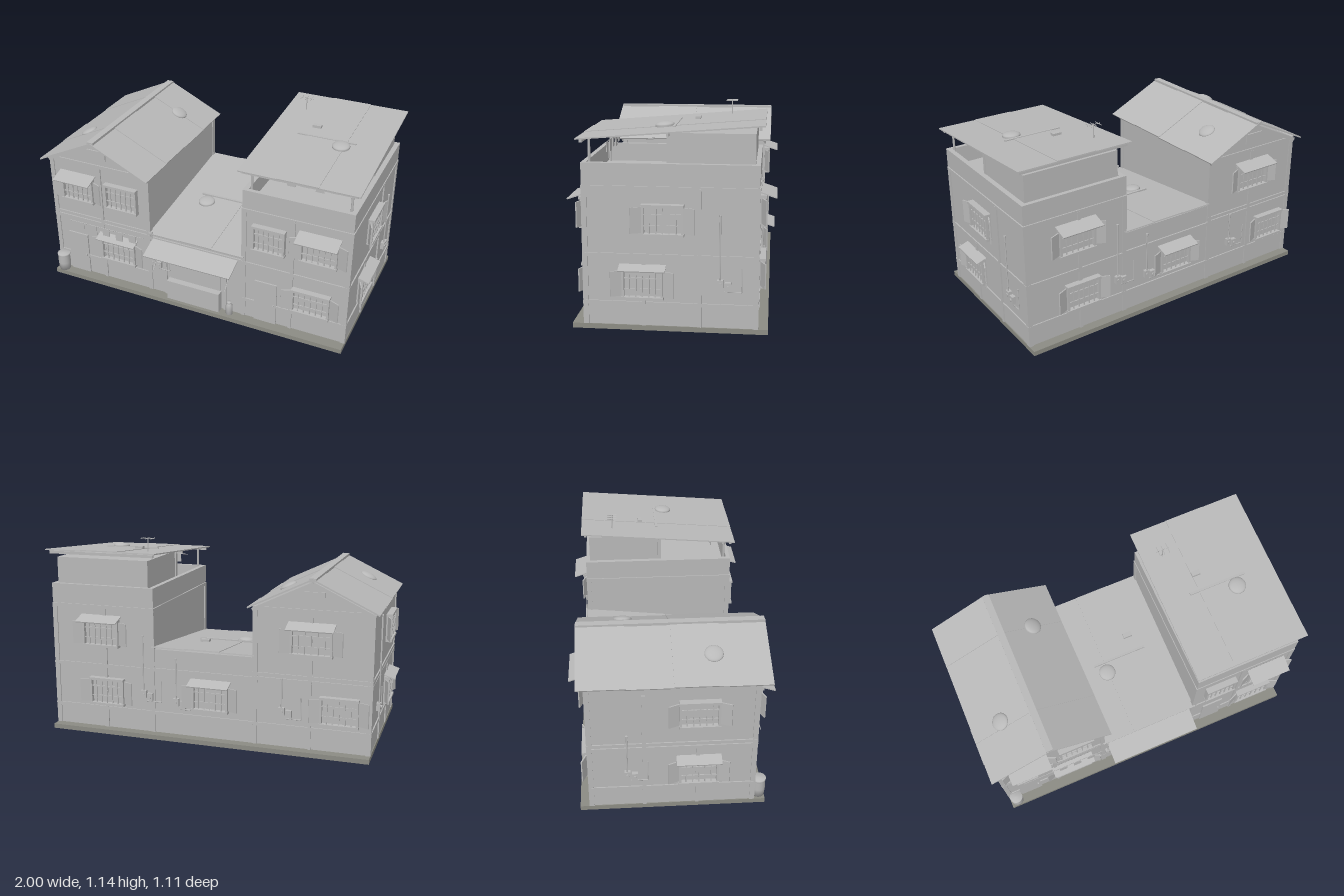
import * as THREE from 'three';

const mat = (name, color) => Object.assign(new THREE.MeshStandardMaterial({ color }), { name });
const wall = mat('plaster grey', 0xb8b8b8);
const ground = mat('pavement grey', 0x8c8c84);

function add(parent, name, geo, x = 0, y = 0, z = 0, m = wall) {
  const mesh = new THREE.Mesh(geo, m);
  mesh.name = name;
  mesh.position.set(x, y, z);
  parent.add(mesh);
  return mesh;
}

// Box given by its limits on each axis
function block(parent, name, x0, x1, y0, y1, z0, z1, m = wall) {
  return add(parent, name, new THREE.BoxGeometry(x1 - x0, y1 - y0, z1 - z0),
    (x0 + x1) / 2, (y0 + y1) / 2, (z0 + z1) / 2, m);
}

function rod(parent, name, a, b, r = 0.004) {
  const p = new THREE.Vector3(...a), q = new THREE.Vector3(...b);
  const d = q.clone().sub(p);
  const mesh = add(parent, name, new THREE.CylinderGeometry(r, r, d.length(), 8));
  mesh.position.copy(p).add(q).multiplyScalar(0.5);
  mesh.quaternion.setFromUnitVectors(new THREE.Vector3(0, 1, 0), d.normalize());
  return mesh;
}

const FRONT = 0.415, BACK = -0.475, LEFT = 0.935, RIGHT = -0.94;

// Group on an outer wall, its local +z pointing outwards
function onFace(root, name, face, u, y) {
  const g = new THREE.Group();
  g.name = name;
  if (face === 'front') g.position.set(u, y, FRONT);
  if (face === 'back') { g.position.set(u, y, BACK); g.rotation.y = Math.PI; }
  if (face === 'plusX') { g.position.set(LEFT, y, u); g.rotation.y = Math.PI / 2; }
  if (face === 'minusX') { g.position.set(RIGHT, y, u); g.rotation.y = -Math.PI / 2; }
  root.add(g);
  return g;
}

// Barred window with sills, open shutters and a sloping canopy
function addWindow(root, face, u, y, { w = 0.2, h = 0.15, shutters = true, canopy = 0 } = {}) {
  const g = onFace(root, 'window', face, u, y);
  const a = w / 2, b = h / 2;
  block(g, 'pane', -a, a, -b, b, 0, 0.006);
  for (const s of [-1, 1]) {
    block(g, 'sill', -a - 0.008, a + 0.008, s * b - 0.007, s * b + 0.007, 0, 0.036);
    block(g, 'jamb', s * a - 0.006, s * a + 0.006, -b, b, 0, 0.03);
    if (shutters) {
      const hinge = new THREE.Group();
      hinge.position.set(s * a, 0, 0.006);
      hinge.rotation.y = -s * 0.4;
      hinge.add(block(g, 'shutter', Math.min(0, s * 0.07), Math.max(0, s * 0.07), -b + 0.008, b - 0.008, 0, 0.007));
      g.add(hinge);
    }
  }
  for (let i = 1; i < 6; i++) {
    const x = -a + (w * i) / 6;
    block(g, 'bar', x - 0.003, x + 0.003, -b, b, 0.02, 0.026);
  }
  for (const v of [-0.18, 0.2]) block(g, 'rail', -a, a, v * h - 0.003, v * h + 0.003, 0.018, 0.024);
  if (canopy) {
    const c = add(g, 'canopy', new THREE.BoxGeometry(w + 0.04, 0.006, canopy), 0, b + 0.012, canopy / 2);
    c.rotation.x = 0.32;
  }
}

// Wall pipe ending in a meter box
function addMeter(root, face, u, y0, y1) {
  const g = onFace(root, 'meter', face, u, y0);
  rod(g, 'conduit', [0, 0, 0.014], [0, y1 - y0, 0.014]);
  add(g, 'conduitCap', new THREE.CylinderGeometry(0.007, 0.007, 0.01, 8), 0, y1 - y0, 0.014);
  for (const [x, y] of [[0, -0.015], [0.04, -0.028]]) {
    block(g, 'meterBox', x - 0.016, x + 0.016, y - 0.022, y + 0.022, 0, 0.022);
    add(g, 'dial', new THREE.CylinderGeometry(0.009, 0.009, 0.006, 12), x, y, 0.024).rotation.x = Math.PI / 2;
  }
  rod(g, 'lowerPipe', [0.02, -0.055, 0.012], [0.11, -0.055, 0.012], 0.003);
  rod(g, 'sidePipe', [0.11, -0.055, 0.012], [0.11, 0.07, 0.012], 0.003);
}

// Sloping sheet roof rising towards the back, made of lapped strips
function addSlope(root, name, x0, x1, z0, y0, z1, y1, n) {
  const len = Math.hypot(z0 - z1, y1 - y0), w = (x1 - x0) / n;
  for (let i = 0; i < n; i++) {
    const s = add(root, name, new THREE.BoxGeometry(w + 0.008, 0.007, len),
      x0 + w * (i + 0.5), (y0 + y1) / 2 + (i % 2) * 0.003, (z0 + z1) / 2);
    s.rotation.x = Math.atan2(y1 - y0, z0 - z1);
  }
}

function addDome(root, x, y, z, tiltX, tiltZ) {
  const geo = new THREE.SphereGeometry(0.05, 24, 8, 0, Math.PI * 2, 0, Math.PI / 2).scale(1, 0.35, 1);
  const g = new THREE.Group();
  g.name = 'roofVent';
  g.position.set(x, y, z);
  g.rotation.set(tiltX, 0, tiltZ);
  add(g, 'ventCap', geo, 0, 0.006, 0);
  add(g, 'ventBase', new THREE.CylinderGeometry(0.05, 0.05, 0.012, 24));
  root.add(g);
}

function addLaundry(root, x0, x1, y, z, n) {
  rod(root, 'washingLine', [x0 - 0.03, y, z], [x1 + 0.03, y, z], 0.002);
  for (let i = 0; i < n; i++) {
    const x = x0 + ((x1 - x0) * (i + 0.5)) / n, h = 0.05 + (i % 2) * 0.012;
    block(root, 'laundry', x - 0.024, x + 0.024, y - h, y, z - 0.002, z + 0.002);
  }
}

// Proud floor bands and corner posts
function addFraming(root, x0, x1, bands, top) {
  const e = 0.007;
  for (const y of bands) block(root, 'floorBand', x0 - e, x1 + e, y - 0.01, y + 0.01, BACK - e, FRONT + e);
  for (const x of [x0 + 0.008, x1 - 0.008]) for (const z of [BACK + 0.008, FRONT - 0.008])
    block(root, 'cornerPost', x - 0.014, x + 0.014, 0.027, top, z - 0.014, z + 0.014);
}

function addDoor(root, x0, x1) {
  block(root, 'door', x0, x1, 0.027, 0.3, FRONT, FRONT + 0.009);
  block(root, 'doorKnob', x1 - 0.02, x1 - 0.012, 0.15, 0.16, FRONT, FRONT + 0.018);
}

export function createModel() {
  const root = new THREE.Group();
  root.name = 'townhouses';
  block(root, 'pavement', -0.945, 0.94, 0, 0.027, -0.53, 0.48, ground);

  // Gabled house
  const gable = new THREE.Shape([[-0.94, 0.027], [-0.285, 0.027], [-0.285, 0.81], [-0.6125, 0.962], [-0.94, 0.81]]
    .map(p => new THREE.Vector2(...p)));
  add(root, 'gabledHouse', new THREE.ExtrudeGeometry(gable, { depth: FRONT - BACK, bevelEnabled: false }), 0, 0, BACK);
  addFraming(root, -0.94, -0.285, [0.145, 0.41, 0.435, 0.805], 0.805);
  const pitch = Math.atan2(0.17, 0.355);
  for (const s of [-1, 1]) {
    for (let i = 0; i < 4; i++) {
      const sheet = add(root, 'gableRoofSheet', new THREE.BoxGeometry(0.396, 0.008, 0.255),
        -0.615 + s * 0.178, 0.893 + (i % 2) * 0.004, 0.351 - i * 0.2475);
      sheet.rotation.z = -s * pitch;
    }
    for (const z of [FRONT + 0.008, BACK - 0.008]) {
      const board = add(root, 'bargeBoard', new THREE.BoxGeometry(0.37, 0.02, 0.016), -0.6125 + s * 0.167, 0.875, z);
      board.rotation.z = -s * pitch;
    }
  }
  block(root, 'ridgeCap', -0.635, -0.595, 0.968, 0.988, -0.515, 0.475);
  for (const z of [FRONT, BACK - 0.008]) {
    block(root, 'gableVent', -0.675, -0.555, 0.85, 0.91, z, z + 0.008);
    block(root, 'middlePost', -0.615, -0.597, 0.027, 0.8, z, z + 0.008);
  }
  addDome(root, -0.8, 0.892, 0.19, 0, pitch);
  addDome(root, -0.43, 0.892, -0.27, 0, -pitch);

  // Low shop in the middle
  const side = new THREE.Shape([[-FRONT, 0.027], [-BACK, 0.027], [-BACK, 0.525], [-FRONT, 0.43]]
    .map(p => new THREE.Vector2(...p)));
  const shop = add(root, 'shop', new THREE.ExtrudeGeometry(side, { depth: 0.6, bevelEnabled: false }), -0.29);
  shop.rotation.y = Math.PI / 2;
  addSlope(root, 'shopRoofSheet', -0.285, 0.315, 0.43, 0.437, -0.485, 0.537, 3);
  block(root, 'shopFrontBeam', -0.285, 0.31, 0.395, 0.415, FRONT, FRONT + 0.008);
  block(root, 'shopBackBeam', -0.285, 0.31, 0.395, 0.415, BACK - 0.008, BACK);
  block(root, 'shopBackBeam', -0.285, 0.31, 0.135, 0.155, BACK - 0.008, BACK);
  block(root, 'serviceHatch', -0.155, 0.175, 0.155, 0.345, FRONT, FRONT + 0.006);
  block(root, 'hatchHeader', -0.165, 0.185, 0.343, 0.357, FRONT, FRONT + 0.016);
  for (const x of [-0.185, 0.205]) block(root, 'shopPost', x - 0.008, x + 0.008, 0.027, 0.4, FRONT, FRONT + 0.008);
  block(root, 'counter', -0.16, 0.18, 0.027, 0.155, FRONT, 0.46);
  addSlope(root, 'shopAwning', -0.26, 0.28, 0.545, 0.355, 0.405, 0.41, 1);
  for (const x of [-0.22, 0.245]) rod(root, 'awningStay', [x, 0.365, 0.405], [x, 0.24, 0.515], 0.003);
  addDome(root, -0.095, 0.486, 0.03, 0.109, 0);
  block(root, 'roofBox', 0.085, 0.14, 0.495, 0.52, -0.155, -0.125);
  block(root, 'roofLap', -0.155, 0.18, 0.488, 0.502, -0.042, -0.028);

  // Tall house with terrace and penthouse
  block(root, 'tallHouse', 0.31, LEFT, 0.027, 0.775, BACK, FRONT);
  addFraming(root, 0.31, LEFT, [0.145, 0.4, 0.75], 0.755);
  const e = 0.004;
  for (const [z0, z1] of [[BACK - e, BACK + 0.02], [FRONT - 0.02, FRONT + e]])
    block(root, 'parapet', 0.31 - e, LEFT + e, 0.765, 0.875, z0, z1);
  for (const [x0, x1] of [[0.31 - e, 0.334], [0.911, LEFT + e]])
    block(root, 'parapet', x0, x1, 0.765, 0.875, BACK + 0.02, FRONT - 0.02);
  block(root, 'penthouse', 0.345, 0.91, 0.77, 1.026, -0.455, -0.02);
  for (const x of [0.345, 0.63, 0.905]) block(root, 'penthousePost', x - 0.008, x + 0.008, 0.77, 1.024, -0.035, -0.012);
  addSlope(root, 'penthouseRoofSheet', 0.287, 0.957, 0.44, 0.995, -0.5, 1.072, 3);
  for (const [z, y] of [[0.415, 0.984], [-0.475, 1.056], [-0.02, 1.02]])
    block(root, 'purlin', 0.3, 0.945, y - 0.008, y + 0.008, z - 0.007, z + 0.007);
  for (const x of [0.345, 0.905]) rod(root, 'terracePost', [x, 0.77, 0.38], [x, 0.995, 0.38], 0.007);
  addDome(root, 0.72, 1.035, 0.02, 0.082, 0);
  block(root, 'roofBox', 0.505, 0.555, 1.045, 1.063, -0.15, -0.122);
  block(root, 'roofLap', 0.45, 0.79, 1.032, 1.044, -0.042, -0.028);
  for (const z of [FRONT, BACK - 0.008]) block(root, 'middlePost', 0.6, 0.618, 0.027, 0.75, z, z + 0.008);
  for (const x of [RIGHT - 0.008, LEFT]) {
    block(root, 'sidePost', x, x + 0.008, 0.027, 0.4, 0.095, 0.115);
    block(root, 'sidePost', x, x + 0.008, 0.027, 0.75, -0.19, -0.17);
  }

  // Aerial
  rod(root, 'aerialMast', [0.4, 1.05, -0.31], [0.4, 1.14, -0.31], 0.003);
  rod(root, 'aerialBoom', [0.36, 1.135, -0.31], [0.44, 1.135, -0.31], 0.002);
  for (const x of [0.37, 0.4, 0.43]) rod(root, 'aerialRod', [x, 1.135, -0.34], [x, 1.135, -0.28], 0.002);

  // Windows and doors
  addWindow(root, 'front', -0.755, 0.63, { canopy: 0.095 });
  addWindow(root, 'front', -0.46, 0.63, { shutters: false });
  addWindow(root, 'front', -0.5, 0.255, { w: 0.22, canopy: 0.065 });
  addWindow(root, 'front', 0.47, 0.595, { w: 0.18, shutters: false });
  addWindow(root, 'front', 0.76, 0.6, { canopy: 0.095 });
  addWindow(root, 'front', 0.73, 0.245, { w: 0.21, h: 0.14 });
  addWindow(root, 'back', -0.61, 0.64, { w: 0.22, canopy: 0.09 });
  addWindow(root, 'back', -0.77, 0.26);
  addWindow(root, 'back', -0.035, 0.27, { canopy: 0.08 });
  addWindow(root, 'back', 0.63, 0.6, { w: 0.21, canopy: 0.09 });
  addWindow(root, 'back', 0.6, 0.25);
  for (const [face, z] of [['plusX', 0.005], ['minusX', 0.11]]) {
    addWindow(root, face, z, face === 'plusX' ? 0.59 : 0.63);
    addWindow(root, face, 0.11, 0.255, { canopy: 0.065 });
  }
  addDoor(root, -0.86, -0.725);
  addDoor(root, 0.39, 0.525);

  // Pipes, washing and street clutter
  addMeter(root, 'plusX', -0.285, 0.28, 0.62);
  addMeter(root, 'minusX', -0.27, 0.26, 0.5);
  addMeter(root, 'front', -0.265, 0.26, 0.45);
  addMeter(root, 'back', 0.37, 0.27, 0.6);
  addMeter(root, 'back', 0.17, 0.24, 0.48);
  addMeter(root, 'back', -0.45, 0.25, 0.42);
  addLaundry(root, -0.79, -0.34, 0.41, 0.455, 5);
  addLaundry(root, 0.42, 0.83, 0.958, 0.31, 5);
  const barrel = [[0, 0], [0.033, 0], [0.038, 0.05], [0.036, 0.1], [0.039, 0.103], [0.039, 0.115], [0, 0.118]];
  add(root, 'barrel', new THREE.LatheGeometry(barrel.map(p => new THREE.Vector2(...p)), 20), -0.9, 0.027, 0.448);
  const bottle = [[0, 0], [0.02, 0], [0.02, 0.06], [0.01, 0.072], [0.012, 0.074], [0.012, 0.085], [0, 0.085]];
  add(root, 'gasBottle', new THREE.LatheGeometry(bottle.map(p => new THREE.Vector2(...p)), 16), 0.24, 0.027, 0.44);
  return root;
}
